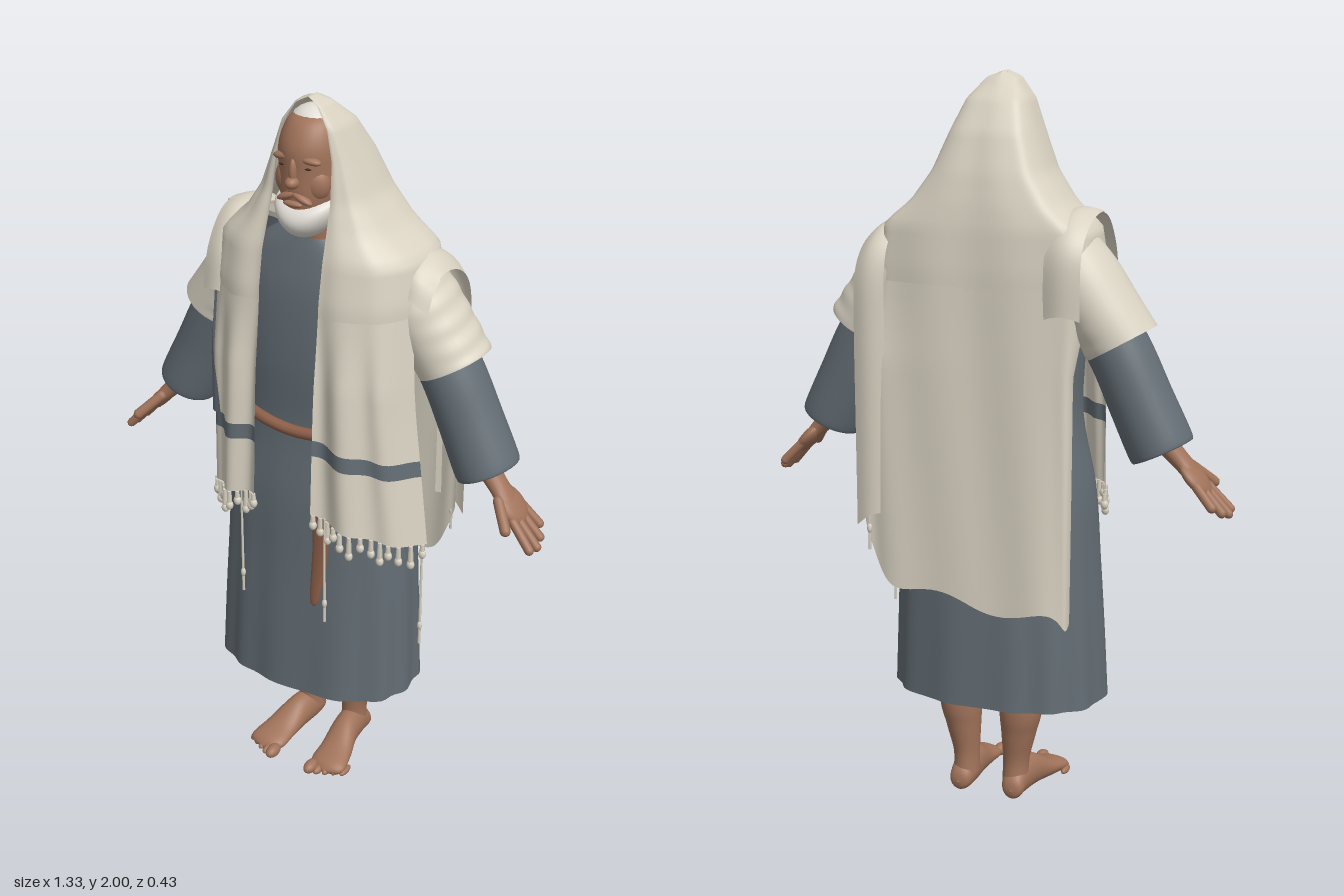
import * as THREE from 'three';
import { mergeVertices } from 'three/addons/utils/BufferGeometryUtils.js';

const mat = (name, color, double = true) => {
  const m = new THREE.MeshStandardMaterial({ color, side: double ? THREE.DoubleSide : THREE.FrontSide });
  m.name = name;
  return m;
};
const cream = mat('cream cloth', 0xd9d2c2);
const blue = mat('blue grey cloth', 0x636d74);
const skin = mat('skin', 0xa1735a, false);
const leather = mat('brown belt', 0x8e604a);
const white = mat('white hair', 0xe2ded6, false);
const dark = mat('dark eyes', 0x3c2c26, false);
const mix = THREE.MathUtils.lerp;

export function createModel() {
  const model = new THREE.Group();
  model.name = 'robedMan';

  const add = (name, geo, material, parent = model) => {
    const mesh = new THREE.Mesh(geo, material);
    mesh.name = name;
    parent.add(mesh);
    return mesh;
  };

  // Surface through fn(u, v) -> [x, y, z]
  const grid = (fn, nu, nv) => {
    const pos = [], idx = [];
    for (let i = 0; i <= nv; i++) for (let j = 0; j <= nu; j++) pos.push(...fn(j / nu, i / nv));
    for (let i = 0; i < nv; i++) for (let j = 0; j < nu; j++) {
      const a = i * (nu + 1) + j, c = a + nu + 1;
      idx.push(a, c, a + 1, a + 1, c, c + 1);
    }
    let g = new THREE.BufferGeometry();
    g.setAttribute('position', new THREE.Float32BufferAttribute(pos, 3));
    g.setIndex(idx);
    g = mergeVertices(g, 1e-5);
    g.computeVertexNormals();
    return g;
  };

  // Smooth value along rows of numbers
  const spline = (rows, v) => {
    const n = rows.length - 1, f = Math.min(v * n, n - 1e-9), i = Math.floor(f), t = f - i;
    const at = k => rows[Math.max(0, Math.min(n, k))];
    return rows[0].map((_, k) => {
      const a = at(i - 1)[k], b = at(i)[k], c = at(i + 1)[k], d = at(i + 2)[k];
      return b + 0.5 * t * (c - a + t * (2 * a - 5 * b + 4 * c - d + t * (3 * (b - c) + d - a)));
    });
  };

  // Closed tube through elliptical rings [x, y, z, radius, zRadius, tilt], listed upwards
  const loft = (rows, { nu = 32, nv = 28, power = 2, fold = () => 1 } = {}) => grid((u, v) => {
    const [x, y, z, a, b, tilt = 0] = spline(rows, v), t = (u === 1 ? 0 : u) * Math.PI * 2;
    const sq = q => Math.sign(q) * Math.abs(q) ** (2 / power);
    const k = fold(t, v), p = sq(Math.cos(t)) * a * k;
    return [x + p * Math.cos(tilt), y + p * Math.sin(tilt), z + sq(Math.sin(t)) * b * k];
  }, nu, nv);

  const ball = (name, material, p, s, parent = model, rz = 0) => {
    const m = add(name, new THREE.SphereGeometry(1, 20, 14), material, parent);
    m.position.set(...p);
    m.scale.set(...s);
    m.rotation.z = rz;
    return m;
  };

  // Robe body
  add('robe', loft([
    [-0.005, 0.299, 0.008, 0.301, 0.193], [-0.003, 0.5, 0.008, 0.293, 0.184], [0, 0.7, 0.008, 0.284, 0.173],
    [0, 0.9, 0.008, 0.27, 0.163], [0, 1.1, 0, 0.235, 0.148], [0, 1.3, 0, 0.24, 0.15],
    [0, 1.48, -0.01, 0.235, 0.148], [0, 1.58, -0.015, 0.19, 0.13], [0, 1.64, 0.01, 0.085, 0.085],
  ], { nu: 96, nv: 40, power: 2.35, fold: (t, v) => 1 + 0.018 * Math.max(0, 1 - v * 1.8) * Math.sin(t * 13 + Math.sin(t * 3)) }), blue);

  // Belt across the front and its hanging end
  add('belt', new THREE.TubeGeometry(new THREE.CatmullRomCurve3([
    [-0.17, 1.125, 0.122], [-0.09, 1.118, 0.15], [0, 1.11, 0.156], [0.09, 1.116, 0.15], [0.17, 1.125, 0.122],
  ].map(p => new THREE.Vector3(...p))), 24, 0.016, 10), leather);
  add('beltEnd', loft([
    [0.095, 0.61, 0.2, 0.004, 0.004], [0.098, 0.64, 0.198, 0.016, 0.008], [0.11, 0.78, 0.19, 0.025, 0.008],
    [0.112, 0.92, 0.182, 0.028, 0.008], [0.115, 1.0, 0.165, 0.02, 0.006],
  ], { nu: 12 }), leather);

  // Neck, head and face
  const head = new THREE.Group();
  head.name = 'head';
  model.add(head);
  head.position.x = -0.004;
  add('neck', loft([[0, 1.58, 0, 0.062, 0.062], [0, 1.76, 0.02, 0.056, 0.056]]), skin, head);
  add('skull', loft([
    [0, 1.675, 0.075, 0.001, 0.001], [0, 1.69, 0.068, 0.045, 0.05], [0, 1.75, 0.053, 0.076, 0.082],
    [0, 1.82, 0.046, 0.083, 0.09], [0, 1.88, 0.043, 0.083, 0.092], [0, 1.93, 0.033, 0.07, 0.078],
    [0, 1.955, 0.03, 0.045, 0.048], [0, 1.965, 0.03, 0.001, 0.001],
  ]), skin, head);
  ball('nose', skin, [0, 1.798, 0.138], [0.018, 0.016, 0.023], head);
  ball('noseBridge', skin, [0, 1.825, 0.133], [0.011, 0.036, 0.015], head);
  ball('lips', skin, [0, 1.742, 0.138], [0.028, 0.008, 0.01], head);
  for (const s of [1, -1]) {
    ball('cheek', skin, [s * 0.036, 1.79, 0.088], [0.042, 0.05, 0.036], head);
    ball('brow', skin, [s * 0.034, 1.857, 0.116], [0.036, 0.011, 0.017], head, s * -0.12);
    ball('eyeSlit', dark, [s * 0.034, 1.836, 0.126], [0.014, 0.003, 0.004], head);
    ball('upperLip', skin, [s * 0.022, 1.758, 0.129], [0.032, 0.01, 0.014], head, s * -0.4);
  }
  const beard = new THREE.SphereGeometry(1, 32, 20).scale(0.086, 0.055, 0.084);
  const bp = beard.attributes.position;
  for (let i = 0; i < bp.count; i++) bp.setY(i, bp.getY(i) + 5 * bp.getX(i) ** 2);
  beard.computeVertexNormals();
  add('beard', beard, white, head).position.set(0, 1.691, 0.066);
  ball('hair', white, [0, 1.922, 0.032], [0.066, 0.05, 0.066], head);

  // Shawl cross-sections: y, front edge x and z, half width, side z, back z
  const keys = [
    [2, 0, 0.07, 0, 0.05, 0.03], [1.985, 0.03, 0.078, 0.04, 0.04, 0], [1.93, 0.064, 0.086, 0.083, 0.03, -0.06],
    [1.85, 0.08, 0.09, 0.115, 0.015, -0.108], [1.75, 0.085, 0.105, 0.155, 0, -0.143],
    [1.67, 0.088, 0.13, 0.212, -0.02, -0.162], [1.61, 0.09, 0.15, 0.285, -0.035, -0.172],
    [1.5, 0.09, 0.17, 0.302, -0.04, -0.18], [1.2, 0.09, 0.185, 0.292, -0.04, -0.185], [0.5, 0.09, 0.205, 0.29, -0.04, -0.197],
  ];
  const shawl = (u, y) => {
    let i = 0;
    while (i < keys.length - 2 && keys[i + 1][0] > y) i++;
    const t = (keys[i][0] - y) / (keys[i][0] - keys[i + 1][0]);
    const [, xe, ze, w, zs, zb] = keys[i].map((a, k) => mix(a, keys[i + 1][k], t));
    const half = [[xe, ze], [mix(xe, w, 0.55), ze - 0.018 * Math.min(1, w * 5)], [w * 0.97, mix(zs, ze, 0.45)],
      [w, mix(zs, zb, 0.45)], [w * 0.76, zb + 0.012], [0, zb]];
    const all = [...half, ...half.slice(0, 5).reverse().map(([x, z]) => [-x, z])];
    const [x, z] = spline(all, u);
    return [x, y, z + 0.003 * Math.sin(u * 70 + y * 3) * Math.min(1, (2 - y) * 2)];
  };
  add('hood', grid((u, v) => shawl(u, 2 - 0.55 * v ** 1.5), 96, 40), cream);

  // Back panel: left edge swings out and back, hem slants down to the right
  const backHem = u => 0.8 - 0.17 * (1 - Math.exp(-u * 7)) - 0.07 * u + 0.016 * Math.sin(u * 19);
  add('backPanel', grid((u, v) => {
    const [x, y, z] = shawl(mix(0.3, 0.7, u), mix(1.46, backHem(u), v));
    const k = Math.min(1, v * 4), l = k * (1 - u) ** 5, r = k * u ** 6;
    return [x + 0.025 * l + 0.03 * r, y, z - 0.075 * l - 0.025 * r];
  }, 60, 24), cream);

  // Folds of the shawl thrown over each shoulder, running from back to front as [y, z]
  const shoulderFold = (name, x0, x1, drop, path) => add(name, grid((u, v) => {
    const [y, z] = spline(path, v), round = Math.sin(u * Math.PI);
    return [mix(x0, x1, u), y - drop * u - 0.012 * (1 - round), z - 0.012 * (1 - round) * Math.sign(z)];
  }, 12, 30), cream);
  shoulderFold('rightShoulderFold', -0.295, -0.195, 0,
    [[1.4, -0.185], [1.55, -0.183], [1.63, -0.13], [1.662, -0.04], [1.645, 0.05], [1.56, 0.115], [1.45, 0.14]]);
  shoulderFold('leftShoulderFold', 0.25, 0.34, 0.045,
    [[0.84, -0.2], [1.1, -0.2], [1.35, -0.2], [1.52, -0.192], [1.6, -0.14], [1.63, -0.05], [1.6, 0.03], [1.54, 0.06]]);

  // Front panels with a woven band; f runs from the inner to the outer edge
  const front = (s, f, y, lift = 0) => {
    const p = shawl(f * 0.21, y), k = Math.max(0, (1.47 - y) / 0.57);
    const fold = (0.008 * Math.sin(f * 16 + y * 2) + 0.006 + 0.03 * f * (1 - f * 0.6)) * Math.min(1, k * 3);
    return [s * p[0] * (1 + (s > 0 ? 0.24 : 0) * k * f) + s * lift * f, y, p[2] + fold + lift];
  };
  for (const s of [1, -1]) {
    const side = s > 0 ? 'left' : 'right';
    const hem = f => (s > 0 ? 0.905 - 0.08 * f : 0.91 - 0.04 * f);
    const band = f => (s > 0 ? 1.125 - 0.055 * f : 1.11 - 0.015 * f);
    const panel = (name, top, bottom, material) => add(side + name, grid((u, v) => {
      const f = s > 0 ? u : 1 - u;
      return front(s, f, mix(top(f), bottom(f), v));
    }, 30, 14), material);
    panel('FrontUpper', () => 1.47, band, cream);
    panel('FrontBand', band, f => band(f) - 0.045, blue);
    panel('FrontLower', f => band(f) - 0.045, hem, cream);

    // Knotted fringe
    for (let i = 0; i < 13; i++) {
      const f = 0.04 + i * 0.077, [x, y, z] = front(s, f, hem(f)), len = 0.03 + 0.014 * (i % 3);
      const cord = add('fringeCord', new THREE.CylinderGeometry(0.006, 0.008, len, 6), cream);
      cord.position.set(x, y - len / 2, z);
      ball('fringeKnot', cream, [x, y - len, z], [0.011, 0.014, 0.01]);
    }
  }
  // Blue inset along the outer right panel
  add('rightInset', grid((u, v) => {
    const y = mix(1.5, 1.1, v), f = mix(mix(0.8, 0.56, v), mix(0.96, 0.84, v), 1 - u);
    return front(-1, f, y, 0.006);
  }, 8, 14), blue);

  // Long corner strings
  for (const [x, top, bottom, z] of [[-0.145, 0.9, 0.57, 0.19], [0.13, 0.9, 0.57, 0.2], [0.345, 0.84, 0.49, 0.05], [0.3, 0.84, 0.72, -0.195]]) {
    const string = add('cornerString', new THREE.CylinderGeometry(0.003, 0.004, top - bottom, 6), cream);
    string.position.set(x, (top + bottom) / 2, z);
    ball('stringKnot', cream, [x, bottom + 0.06, z], [0.007, 0.014, 0.007]);
  }

  for (const s of [1, -1]) {
    const side = s > 0 ? 'left' : 'right';
    const mirror = rows => rows.map(([x, y, z, a, b, t = 0]) => [s * x, y, z, a, b, s * t]);

    // Sleeve and the shawl draped over the upper arm
    add(side + 'Sleeve', loft(mirror([
      [0.455, 1.1, -0.047, 0.074, 0.076, 0.45], [0.477, 1.054, -0.047, 0.078, 0.08, 0.45], [0.478, 1.052, -0.047, 0.088, 0.09, 0.45],
      [0.42, 1.175, -0.05, 0.086, 0.088, 0.45], [0.365, 1.29, -0.05, 0.084, 0.088, 0.47], [0.28, 1.43, -0.05, 0.082, 0.088, 0.5],
      [0.2, 1.55, -0.05, 0.07, 0.08, 0.55],
    ]), { nv: 36 }), blue);
    add(side + 'ArmDrape', loft(mirror([
      [0.37, 1.32, -0.053, 0.1, 0.106, 0.52], [0.318, 1.395, -0.053, 0.099, 0.11, 0.52],
      [0.257, 1.48, -0.05, 0.1, 0.112, 0.55], [0.2, 1.545, -0.05, 0.1, 0.1, 0.6],
    ]), { nv: 48, fold: (t, v) => 1 + 0.016 * Math.sin(v * 34 + Math.sin(t * 2)) * Math.max(0, Math.cos(t)) }), cream);

    // Hand with spread fingers
    const hand = new THREE.Group();
    hand.name = side + 'Hand';
    hand.position.set(s * 0.508, 1.035, -0.02);
    hand.rotation.z = s * 0.75;
    model.add(hand);
    add('wrist', loft([
      [0, -0.08, 0, 0.02, 0.045], [0, -0.03, -0.005, 0.024, 0.033], [0, 0.03, -0.012, 0.029, 0.035], [0, 0.1, -0.02, 0.036, 0.04],
    ], { nu: 20 }), skin, hand);
    ball('palm', skin, [0, -0.085, -0.004], [0.021, 0.06, 0.052], hand);
    const finger = (name, y, z, angle, len, r) => {
      const f = add(name, new THREE.CapsuleGeometry(r, len, 5, 10).translate(0, -len / 2, 0), skin, hand);
      f.position.set(0, y, z);
      f.rotation.x = angle;
    };
    [0.085, 0.097, 0.09, 0.07].forEach((len, i) => {
      const z = 0.034 - 0.025 * i;
      finger('finger', -0.122 + 0.006 * i, z, -4.5 * z, len, 0.0125);
    });
    finger('thumb', -0.055, 0.033, -0.6, 0.085, 0.0145);

    // Leg and foot
    add(side + 'Leg', loft(mirror([
      [0.075, 0.05, -0.055, 0.037, 0.042], [0.076, 0.11, -0.053, 0.037, 0.04], [0.084, 0.19, -0.055, 0.049, 0.05],
      [0.092, 0.28, -0.055, 0.062, 0.06], [0.1, 0.5, -0.03, 0.07, 0.07],
    ])), skin);
    add(side + 'Foot', loft(mirror([
      [0.08, -0.108, -0.03, 0.001, 0.001], [0.08, -0.098, -0.034, 0.028, 0.03], [0.078, -0.055, -0.05, 0.037, 0.05],
      [0.085, 0.015, -0.05, 0.041, 0.05], [0.098, 0.085, -0.031, 0.05, 0.031], [0.106, 0.15, -0.02, 0.052, 0.02],
      [0.108, 0.172, -0.017, 0.001, 0.001],
    ])).rotateX(Math.PI / 2), skin);
    for (let i = 0; i < 5; i++) {
      const r = i ? 0.0135 - 0.0008 * i : 0.018;
      ball('toe', skin, [s * (0.066 + i * 0.0225), r, 0.172 - 0.011 * i], [r, r, 0.03 - 0.001 * i]);
    }
  }
  return model;
}
